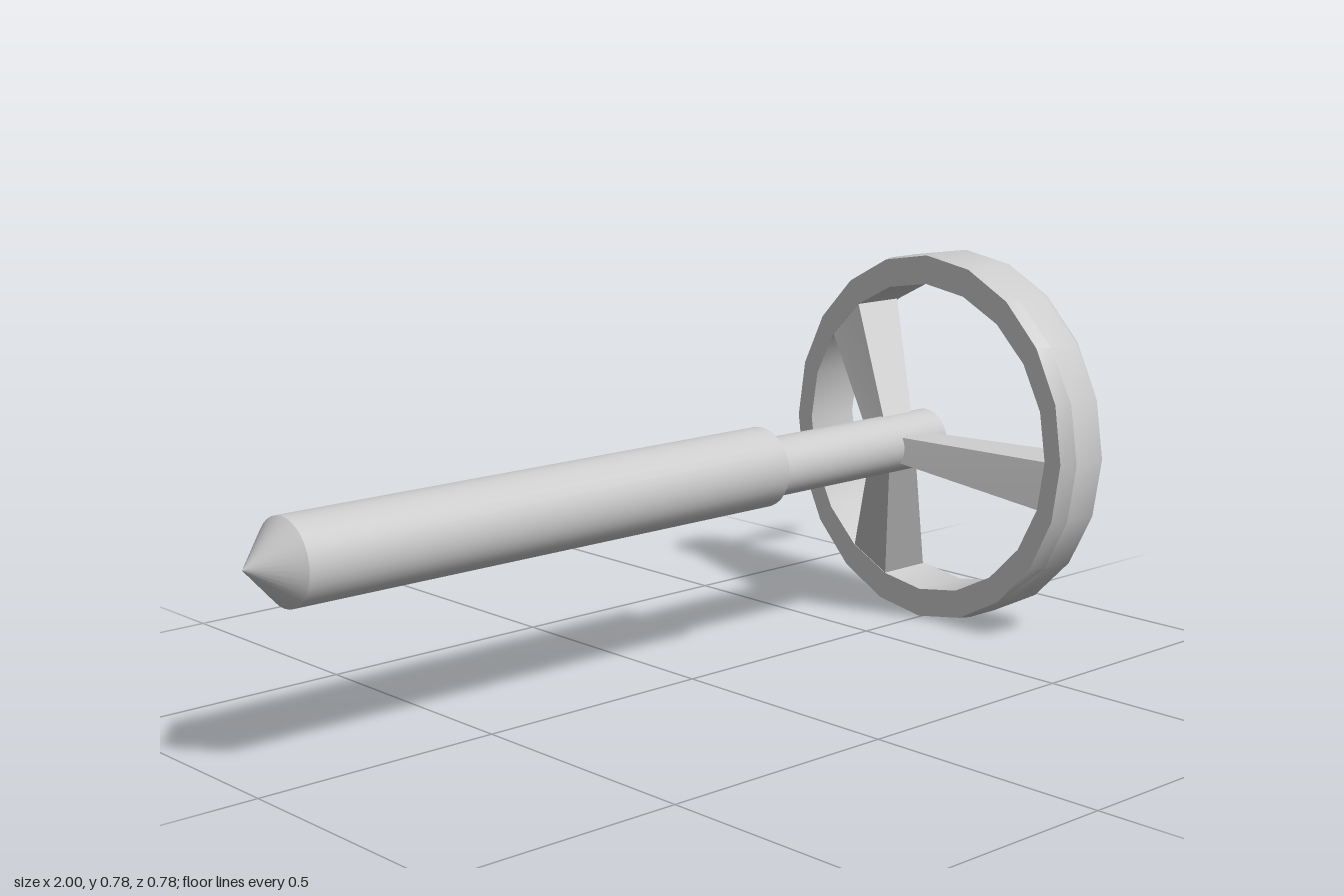
import * as THREE from 'three';
import { toCreasedNormals } from 'three/addons/utils/BufferGeometryUtils.js';

const material = new THREE.MeshStandardMaterial({ color: 0xcccccc });

function part(name, geometry, crease = 0.6) {
  const mesh = new THREE.Mesh(toCreasedNormals(geometry, crease), material);
  mesh.name = name;
  return mesh;
}

// Profile of [x, radius] pairs turned about an axis parallel to x
function turned(name, profile, segments, y, z, crease) {
  const points = profile.map(([x, r]) => new THREE.Vector2(r, x));
  const geometry = new THREE.LatheGeometry(points, segments).rotateZ(-Math.PI / 2);
  const mesh = part(name, geometry, crease);
  mesh.position.set(0, y, z);
  return mesh;
}

// Closed rim, its edge chamfer growing toward the front and back
function rim() {
  const profile = [[0.665, 0.33], [0.665, 0.39], [0.69, 0.392], [0.772, 0.392],
    [0.795, 0.39], [0.795, 0.33], [0.665, 0.33]];
  const geometry = new THREE.LatheGeometry(profile.map(([x, r]) => new THREE.Vector2(r, x)), 20);
  geometry.rotateZ(-Math.PI / 2);
  const p = geometry.attributes.position;
  for (let i = 0; i < p.count; i++) {
    const atEdge = p.getX(i) < 0.67 || p.getX(i) > 0.79;
    if (atEdge && Math.hypot(p.getY(i), p.getZ(i)) > 0.35) p.setZ(i, p.getZ(i) * 0.95);
  }
  const mesh = part('wheelRim', geometry, 0.5);
  mesh.position.y = 0.392;
  return mesh;
}

// Tapered spoke between one inner facet of the rim and the hub;
// hub holds the [z, y] ends of its two sides
function spoke(degrees, hub) {
  const geometry = new THREE.BoxGeometry(2, 2, 2);
  const p = geometry.attributes.position;
  for (let i = 0; i < p.count; i++) {
    const front = p.getX(i) > 0, plus = p.getY(i) > 0, outer = p.getZ(i) > 0;
    if (outer) {
      const a = THREE.MathUtils.degToRad(plus ? degrees : degrees - 18);
      p.setXYZ(i, front ? 0.79 : 0.667, 0.392 + 0.332 * Math.sin(a), 0.332 * Math.cos(a));
    } else {
      const [z, y] = hub[plus ? 0 : 1];
      p.setXYZ(i, front ? 0.64 : 0.555, y, z);
    }
  }
  return part('spoke', geometry, 0.2);
}

export function createModel() {
  const group = new THREE.Group();

  // Thick sleeve with a pointed end
  group.add(turned('sleeve', [[-1, 0], [-0.92, 0.081], [0.205, 0.081], [0.205, 0]], 32, 0.395, -0.02));

  // Thin shaft ending in the hub
  group.add(turned('shaft', [[0.19, 0], [0.19, 0.06], [0.69, 0.06], [0.69, 0]], 32, 0.391, -0.015));

  // Handwheel
  const wheel = new THREE.Group();
  wheel.name = 'handwheel';
  wheel.add(
    rim(),
    spoke(0, [[0.035, 0.415], [0.035, 0.36]]),
    spoke(144, [[-0.06, 0.415], [-0.012, 0.448]]),
    spoke(-108, [[0.006, 0.335], [-0.053, 0.348]]),
  );
  group.add(wheel);

  // Crank handle standing out from the rim
  group.add(turned('crankHandle', [[0.77, 0], [0.77, 0.014], [0.82, 0.014], [0.86, 0.016], [0.9, 0.022],
    [0.935, 0.025], [0.965, 0.023], [0.988, 0.018], [1, 0.011], [1, 0]], 20, 0.715, -0.145, 0.9));

  return group;
}
